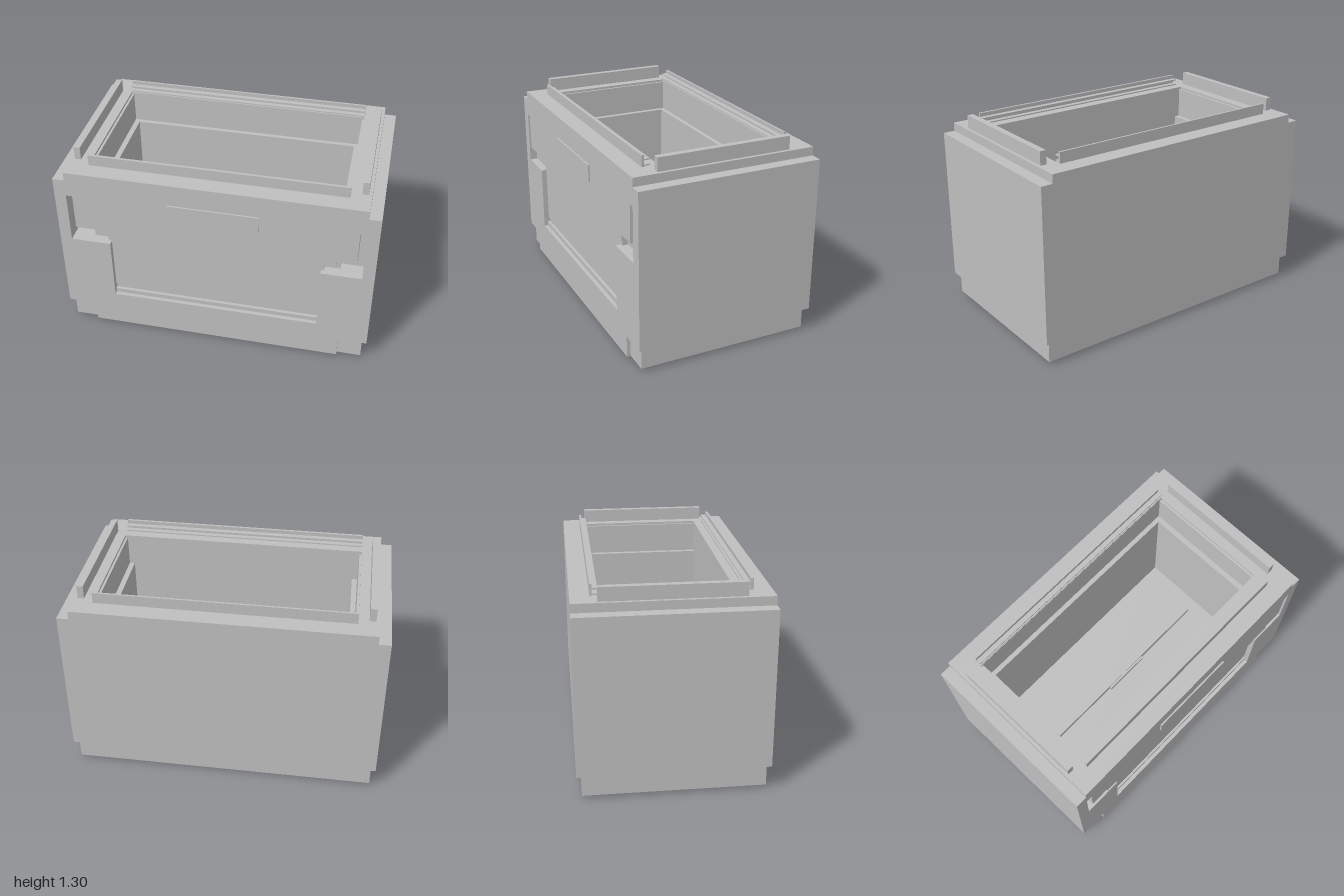
import * as THREE from 'three';

export function createModel() {
  const model = new THREE.Group();
  const grey = new THREE.MeshStandardMaterial({ color: 0xbfbfbf });

  const add = (name, geometry) => {
    const mesh = new THREE.Mesh(geometry, grey);
    mesh.name = name;
    model.add(mesh);
    return mesh;
  };

  // Box given by its limits on each axis
  const box = (name, x0, x1, y0, y1, z0, z1) =>
    add(name, new THREE.BoxGeometry(x1 - x0, y1 - y0, z1 - z0)
      .translate((x0 + x1) / 2, (y0 + y1) / 2, (z0 + z1) / 2));

  // Rectangle symmetric in x, drawn between two values of its second axis
  const rect = (Kind, halfX, a, b) => new Kind([
    [-halfX, a], [halfX, a], [halfX, b], [-halfX, b],
  ].map(([x, y]) => new THREE.Vector2(x, y)));

  // Horizontal rectangular ring, extruded upwards
  const ring = (name, halfX, back, front, holeX, holeBack, holeFront, y0, y1) => {
    const shape = rect(THREE.Shape, halfX, -front, -back);
    shape.holes.push(rect(THREE.Path, holeX, -holeFront, -holeBack));
    add(name, new THREE.ExtrudeGeometry(shape, { depth: y1 - y0, bevelEnabled: false })
      .rotateX(-Math.PI / 2).translate(0, y0, 0));
  };

  // Plinth with a flush centre front, and a rod underneath
  box('plinth', -0.97, 0.97, 0.02, 0.16, -0.56, 0.555);
  box('plinthFront', -0.815, 0.815, 0.02, 0.16, 0.5, 0.58);
  add('bottomRod', new THREE.CylinderGeometry(0.013, 0.013, 1.28, 16)
    .rotateZ(Math.PI / 2).translate(0, 0.013, 0));

  // Hollow body with an inner ledge
  box('bodyFloor', -1, 1, 0.16, 0.3, -0.59, 0.46);
  ring('lowerBody', 1, -0.59, 0.46, 0.75, -0.4, 0.365, 0.3, 1);
  ring('upperBody', 1, -0.59, 0.46, 0.785, -0.43, 0.365, 1, 1.16);
  ring('topDeckBase', 0.925, -0.59, 0.58, 0.785, -0.43, 0.365, 1.16, 1.2);
  ring('topDeck', 0.925, -0.59, 0.58, 0.8, -0.43, 0.365, 1.2, 1.215);

  // Front plate with a stepped recess
  const half = [[0.67, 0.27], [0.67, 0.7], [0.925, 0.7], [0.925, 1.045],
    [0.885, 1.045], [0.885, 0.805], [0.76, 0.805], [0.76, 0.765]];
  const outline = [...half, ...half.map(([x, y]) => [-x, y]).reverse()];
  const plate = rect(THREE.Shape, 1, 0.16, 1.16);
  plate.holes.push(new THREE.Path(outline.map(([x, y]) => new THREE.Vector2(x, y))));
  add('frontPlate', new THREE.ExtrudeGeometry(plate, { depth: 0.12, bevelEnabled: false })
    .translate(0, 0, 0.46));
  box('recessedPanel', -0.69, 0.69, 0.33, 0.765, 0.45, 0.545);
  box('panelSill', -0.67, 0.67, 0.27, 0.3, 0.45, 0.555);
  box('panelGroove', -0.67, 0.67, 0.3, 0.33, 0.45, 0.535);
  box('handlePlate', -0.285, 0.285, 0.96, 1.07, 0.58, 0.59);

  // Recess shoulders and upright bars beside the opening
  for (const s of [-1, 1]) {
    const shoulder = box('recessShoulder', -0.0475, 0.0475, 0.7, 0.805, 0.45, 0.51);
    shoulder.position.x = s * 0.7375;
    const bar = box('sideBar', -0.02, 0.02, 1.215, 1.3, -0.435, 0.42);
    bar.position.x = s * 0.885;
  }

  // Channel rails in front of and behind the opening
  const rail = (name, plate0, plate1, flange0, flange1) => {
    box(name, -0.8, 0.8, 1.215, 1.285, plate0, plate1);
    for (const y of [1.22, 1.253]) box(name + 'Flange', -0.8, 0.8, y, y + 0.008, flange0, flange1);
  };
  rail('frontRail', 0.452, 0.468, 0.418, 0.452);
  rail('backRail', -0.475, -0.462, -0.462, -0.43);

  // Low divider on the cavity floor
  box('floorDivider', -0.655, 0.655, 0.3, 0.34, -0.005, 0.015);
  box('dividerTab', -0.16, 0.16, 0.3, 0.33, 0.015, 0.03);

  return model;
}
